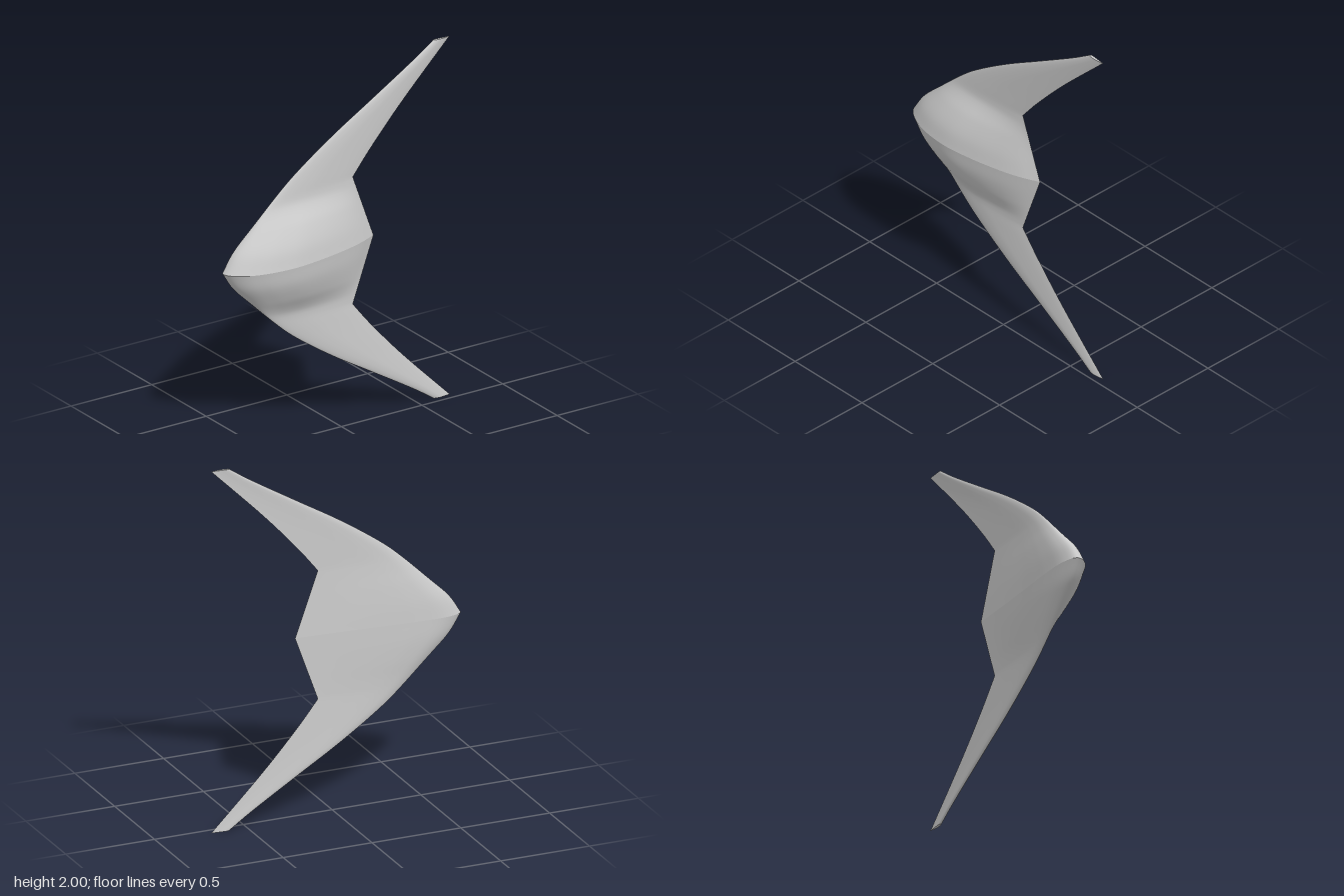
import * as THREE from 'three';

const MID = -0.043; // z of the wing plane
const KINK = 0.355; // distance from the centre where the trailing edge turns

// smooth interpolation through [position, value] pairs
function smooth(pts, s) {
  const n = pts.length - 1;
  let i = 0;
  while (i < n - 1 && s > pts[i + 1][0]) i++;
  const slope = (a, b) => (pts[b][1] - pts[a][1]) / (pts[b][0] - pts[a][0]);
  const tangent = k => slope(Math.max(k - 1, 0), Math.min(k + 1, n));
  const h = pts[i + 1][0] - pts[i][0], t = (s - pts[i][0]) / h;
  const t2 = t * t, t3 = t2 * t;
  return (2 * t3 - 3 * t2 + 1) * pts[i][1] + (t3 - 2 * t2 + t) * h * tangent(i)
    + (3 * t2 - 2 * t3) * pts[i + 1][1] + (t3 - t2) * h * tangent(i + 1);
}

// planform and thickness, by distance from the centre line
const leading = [[0, -0.7], [0.1, -0.635], [0.2, -0.535], [0.4, -0.325], [0.5, -0.195],
  [0.63, 0], [0.75, 0.2], [0.92, 0.48], [1, 0.6]];
const trailing = [[KINK, 0.1], [0.487, 0.207], [0.7, 0.4], [1, 0.7]];
const frontHeight = [[0, 0.137], [0.1, 0.117], [0.2, 0.076], [0.27, 0.036], [0.31, 0.02],
  [0.4, 0.015], [0.6, 0.012], [1, 0.009]];
const backHeight = [[0, 0.051], [0.1, 0.046], [0.2, 0.035], [0.3, 0.022], [0.4, 0.014],
  [0.6, 0.009], [1, 0.007]];
const trailingX = s => s < KINK ? 0.228 - 0.128 * s / KINK : smooth(trailing, s);

// aerofoil as [chord fraction, height]: trailing edge, front, nose, back, trailing edge
const section = new THREE.CatmullRomCurve3([
  [1, 0], [0.88, 0.35], [0.757, 0.6], [0.57, 0.86], [0.39, 1], [0.25, 0.94], [0.13, 0.74],
  [0.043, 0.43], [0, 0], [0.043, -0.74], [0.14, -1], [0.25, -0.95], [0.37, -0.8],
  [0.57, -0.5], [0.84, -0.16], [1, 0],
].map(([u, h]) => new THREE.Vector3(u, h, 0))).getPoints(90);

// one half of the wing lofted outwards, side = 1 (up) or -1 (down)
function wingHalf(side) {
  const positions = [], index = [], m = section.length;
  const stations = [];
  for (let i = 0; i < 22; i++) stations.push(KINK * i / 22);
  for (let i = 0; i <= 30; i++) stations.push(KINK + (1 - KINK) * i / 30);
  for (const s of stations) {
    const x0 = smooth(leading, s), x1 = trailingX(s);
    const front = smooth(frontHeight, s), back = smooth(backHeight, s);
    for (const p of section) {
      positions.push(x0 + (x1 - x0) * p.x, 1 + side * s, MID + p.y * (p.y > 0 ? front : back));
    }
  }
  const face = (a, b, c) => side > 0 ? index.push(a, b, c) : index.push(a, c, b);
  for (let i = 0; i < stations.length - 1; i++) {
    for (let j = 0; j < m - 1; j++) {
      const a = i * m + j, b = a + 1, c = a + m, d = c + 1;
      face(a, c, b);
      face(b, c, d);
    }
  }
  return makeGeometry(positions, index);
}

// flat end closing the wing tip
function tipCap(side) {
  const positions = [], index = [];
  for (const p of section) {
    positions.push(0.6 + 0.1 * p.x, 1 + side, MID + p.y * (p.y > 0 ? 0.009 : 0.007));
  }
  for (let j = 1; j < section.length - 2; j++) {
    if (side > 0) index.push(0, j + 1, j);
    else index.push(0, j, j + 1);
  }
  return makeGeometry(positions, index);
}

function makeGeometry(positions, index) {
  const g = new THREE.BufferGeometry();
  g.setAttribute('position', new THREE.Float32BufferAttribute(positions, 3));
  g.setIndex(index);
  g.computeVertexNormals();
  return g;
}

export function createModel() {
  const model = new THREE.Group();
  model.name = 'flyingWing';
  const material = new THREE.MeshStandardMaterial({ color: 0xcccccc });
  for (const [side, name] of [[1, 'upper'], [-1, 'lower']]) {
    const wing = new THREE.Mesh(wingHalf(side), material);
    wing.name = name + 'Wing';
    const cap = new THREE.Mesh(tipCap(side), material);
    cap.name = name + 'WingTip';
    model.add(wing, cap);
  }
  return model;
}
